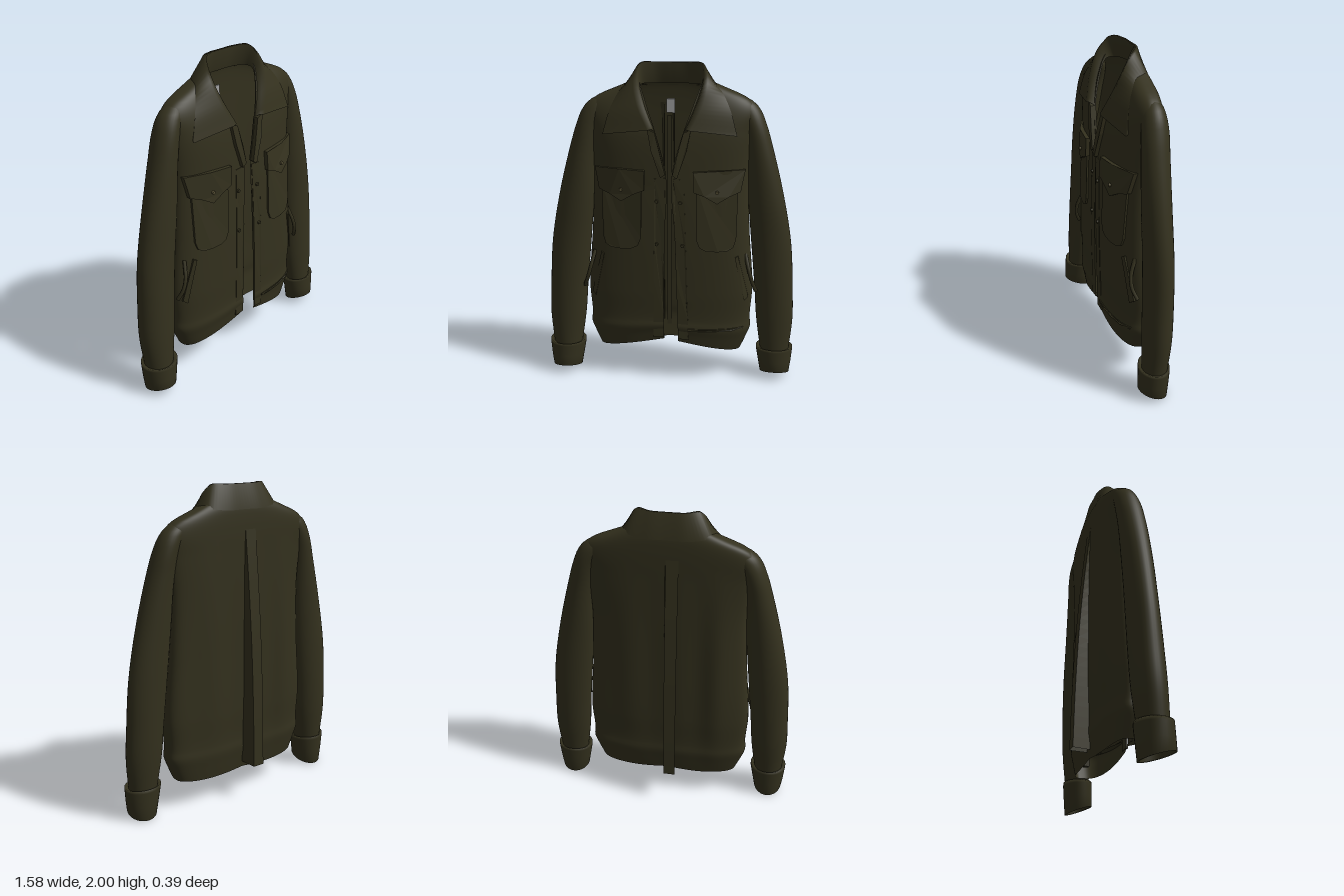
import * as THREE from 'three';
import { mergeVertices } from 'three/addons/utils/BufferGeometryUtils.js';

const mat = (name, color) => {
  const m = new THREE.MeshStandardMaterial({ color, side: THREE.DoubleSide });
  m.name = name;
  return m;
};

// Smooth lookup through rows of [y, ...values], lowest row first
function profile(rows) {
  const n = rows[0].length - 1;
  const it = new THREE.CubicInterpolant(
    new Float32Array(rows.map(r => r[0])), new Float32Array(rows.flatMap(r => r.slice(1))), n);
  return y => Array.from(it.evaluate(y));
}

// Surface from a rule f(u, v) -> [x, y, z]
function grid(f, nu, nv, flat = false) {
  const pos = [], idx = [];
  for (let j = 0; j <= nv; j++) for (let i = 0; i <= nu; i++) pos.push(...f(i / nu, j / nv));
  for (let j = 0; j < nv; j++) for (let i = 0; i < nu; i++) {
    const a = j * (nu + 1) + i, b = a + nu + 1;
    idx.push(a, a + 1, b, a + 1, b + 1, b);
  }
  let g = new THREE.BufferGeometry();
  g.setAttribute('position', new THREE.Float32BufferAttribute(pos, 3));
  g.setIndex(idx);
  g = flat ? g.toNonIndexed() : mergeVertices(g, 1e-5);
  g.computeVertexNormals();
  return g;
}

// Torso rows: y, half width, front opening, front z, side z, back z
const torso = profile([
  [0.19, 0.455, 0.03, 0.168, 0.03, -0.078], [0.27, 0.488, 0.03, 0.176, 0.03, -0.09],
  [0.35, 0.515, 0.03, 0.186, 0.03, -0.1], [0.39, 0.51, 0.03, 0.18, 0.03, -0.096],
  [0.6, 0.52, 0.03, 0.18, 0.03, -0.102], [1.0, 0.49, 0.025, 0.176, 0.025, -0.104],
  [1.35, 0.475, 0.018, 0.16, 0.015, -0.104], [1.6, 0.495, 0.08, 0.132, 0.005, -0.103],
  [1.74, 0.505, 0.13, 0.095, -0.005, -0.102], [1.8, 0.45, 0.152, 0.07, -0.01, -0.1],
  [1.86, 0.31, 0.175, 0.04, -0.02, -0.095], [1.9, 0.215, 0.19, 0.01, -0.03, -0.085]]);
const opening = (x0, y, s) => x0 + (s > 0 && y < 1.3 ? 0.03 * Math.min(1, (1.3 - y) * 1.2) : 0);
// The right front panel hangs a little flatter than the left
const frontDepth = (zf, y, s) => zf - (s < 0 && y < 1.6 ? 0.02 * Math.min(1, (1.6 - y) * 3) : 0);

// Height of the front panel at a point, used to lay pockets on it
function frontZ(x, y) {
  const s = Math.sign(x), [w, x0, zf, zs] = torso(y), e = opening(x0, y, s);
  const u = Math.min(1, Math.max(0, (Math.abs(x) - e) / (w - e)));
  return zs + (frontDepth(zf, y, s) - zs) * Math.pow(1 - Math.pow(u, 2 / 0.7), 0.45);
}

function torsoPoint(u, v) {
  const y = 0.19 + 1.71 * v, s = u < 0.5 ? 1 : -1;
  const a = Math.PI * (u < 0.5 ? 2 * u : 2 - 2 * u);
  const [w, x0, zf, zs, zb] = torso(y);
  const front = a <= Math.PI / 2 + 1e-6;
  const e = front ? opening(x0, y, s) : 0;
  const x = s * (e + (w - e) * Math.pow(Math.max(0, Math.sin(a)), 0.7));
  const c = Math.pow(Math.abs(Math.cos(a)), front ? 0.9 : 0.6);
  // soft hanging folds on the back, with one deeper fold at the right
  const hang = Math.sin(Math.PI * Math.min(1, v * 1.15));
  const fold = front ? 0 : c * hang * (0.005 * Math.sin(x * 21) - 0.018 * Math.exp(-(((x + 0.31) / 0.08) ** 2)));
  const z = zs + ((front ? frontDepth(zf, y, s) : zb) - zs) * c + fold;
  // hem rises toward the front opening and dips either side of the back centre
  const d = Math.min(1, Math.abs(x) / 0.46);
  const hem = (front ? 0.095 * (1 - d) : -0.015 * Math.sin(Math.PI * d)) * Math.max(0, 1 - v * 7);
  return [x, y + hem, z];
}

// Closed sleeve ring; row values are inner x, outer x, centre z, z radius
function ring(r, u, s, y, tilt = 0) {
  const a = u * Math.PI * 2, c = Math.cos(a), d = Math.sin(a);
  return [s * ((r[0] + r[1]) / 2 + (r[1] - r[0]) / 2 * c), y + tilt * d, r[2] + r[3] * d];
}
const sleeve = profile([
  [0.18, 0.585, 0.765, 0.05, 0.08], [0.4, 0.552, 0.783, 0.036, 0.09], [0.6, 0.535, 0.775, 0.028, 0.092],
  [0.9, 0.505, 0.752, 0.02, 0.09], [1.2, 0.475, 0.695, 0.017, 0.089], [1.5, 0.45, 0.617, 0.008, 0.086],
  [1.65, 0.42, 0.57, -0.002, 0.082], [1.73, 0.38, 0.533, -0.008, 0.07],
  [1.78, 0.36, 0.485, -0.011, 0.05], [1.81, 0.39, 0.42, -0.012, 0.012]]);
const cuffRows = [
  [0.2, 0.585, 0.76, 0.05, 0.08, 0], [0.215, 0.557, 0.79, 0.053, 0.098, 0], [0.195, 0.557, 0.79, 0.053, 0.099, 0.002],
  [0.11, 0.573, 0.783, 0.058, 0.097, 0.014], [0.033, 0.588, 0.773, 0.063, 0.095, 0.03],
  [0.036, 0.6, 0.762, 0.063, 0.084, 0.03], [0.2, 0.6, 0.755, 0.05, 0.076, 0]];
// The right arm is a little fuller in depth toward the wrist
const fuller = (r, s, y) => [r[0], r[1], r[2] + (s < 0 ? 0.004 : -0.006), r[3] * (s < 0 ? 1 + 0.1 * Math.max(0, 1 - y) : 0.93)];

// Thin outlined piece laid over the front panel
function applique(pts, depth) {
  const g = new THREE.ExtrudeGeometry(new THREE.Shape(pts.map(p => new THREE.Vector2(...p))),
    { depth: depth + 0.01, bevelEnabled: false });
  const p = g.attributes.position;
  for (let i = 0; i < p.count; i++)
    p.setZ(i, p.getZ(i) - 0.01 + frontZ(p.getX(i), p.getY(i)));
  g.computeVertexNormals();
  return g;
}

export function createModel() {
  const root = new THREE.Group();
  root.name = 'jacket';
  const cloth = mat('olive cloth', 0x34311e);
  const brass = mat('dull brass', 0x575035);
  const grey = mat('label grey', 0xa6a6a6);
  const add = (name, geo, m = cloth) => {
    const mesh = new THREE.Mesh(geo, m);
    mesh.name = name;
    root.add(mesh);
    return mesh;
  };

  add('torso', grid(torsoPoint, 96, 90));

  // Centre back pleat, deeper toward the hem
  const pleat = profile([[0.23, -0.2], [0.6, -0.19], [1, -0.17], [1.4, -0.137], [1.75, -0.1]]);
  add('backPleat', grid((u, v) => {
    const y = 0.23 + 1.52 * v, z = pleat(y)[0], i = Math.round(u * 3);
    return [[-0.05, -0.075, 0.0, 0.012][i], y, i % 3 ? z : -0.09];
  }, 3, 24, true));

  // Collar: stand, fold and outer edge, each traced from the centre back to the front
  const curve = pts => new THREE.CatmullRomCurve3(pts.map(p => new THREE.Vector3(...p)));
  const edges = [
    [[0, 1.87, -0.075], [0.1, 1.87, -0.07], [0.175, 1.87, -0.03], [0.18, 1.86, 0.02], [0.14, 1.74, 0.08], [0.085, 1.61, 0.125]],
    [[0, 1.997, -0.045], [0.1, 1.997, -0.04], [0.18, 1.993, 0.005], [0.195, 1.9, 0.06], [0.16, 1.77, 0.11], [0.1, 1.63, 0.16]],
    [[0, 1.998, -0.068], [0.105, 1.998, -0.064], [0.188, 1.995, -0.02], [0.22, 1.91, 0.06], [0.195, 1.77, 0.12], [0.125, 1.625, 0.168]],
    [[0, 1.85, -0.099], [0.13, 1.85, -0.098], [0.25, 1.865, -0.07], [0.295, 1.85, 0.025], [0.355, 1.74, 0.09], [0.4, 1.59, 0.122]],
    [[0, 1.86, -0.094], [0.13, 1.86, -0.093], [0.24, 1.855, -0.06], [0.28, 1.84, 0.015], [0.34, 1.74, 0.07], [0.39, 1.6, 0.1]],
  ].map(curve);
  add('collar', grid((u, v) => {
    const s = u < 0.5 ? -1 : 1, p = edges[Math.round(v * 4)].getPoint(Math.abs(2 * u - 1));
    return [s * p.x, p.y, p.z];
  }, 60, 4));

  for (const s of [1, -1]) {
    const side = s > 0 ? 'left' : 'right';
    const m = pts => pts.map(([x, y]) => [s * x, y]);

    add(side + 'Sleeve', grid((u, v) => {
      const y = 0.18 + 1.63 * v;
      return ring(fuller(sleeve(y), s, y), u, s, y);
    }, 32, 60));
    add(side + 'Cuff', grid((u, v) => {
      const r = cuffRows[Math.round(v * 6)];
      return ring(fuller(r.slice(1), s, r[0]), u, s, r[0], r[5]);
    }, 32, 6));

    // Rolled lapel below the collar
    add(side + 'Lapel', applique(m([[0.022, 1.36], [0.05, 1.48], [0.085, 1.61], [0.13, 1.63], [0.105, 1.5], [0.05, 1.34]]), 0.025));

    // Button placket down the front edge
    const inner = s > 0 ? 0.061 : 0.032, lean = s > 0 ? 0.035 : 0.008, placket = [];
    for (let i = 0; i <= 8; i++) placket.push([inner - lean * i / 8, 0.295 + i * 0.13]);
    for (let i = 8; i >= 0; i--) placket.push([inner + 0.065 - lean * i / 8, 0.29 + i * 0.13]);
    add(side + 'Placket', applique(m(placket), 0.003));

    // Chest pocket with rounded lower corners and pointed flap
    add(side + 'ChestPocket', applique(m([[0.165, 1.3], [0.17, 0.96], [0.19, 0.91], [0.23, 0.89], [0.3, 0.885],
      [0.36, 0.89], [0.395, 0.91], [0.41, 0.96], [0.415, 1.3]]), 0.012));
    add(side + 'PocketFlap', applique(m([[0.145, 1.38], [0.15, 1.26], [0.215, 1.235], [0.29, 1.19], [0.36, 1.23],
      [0.43, 1.255], [0.455, 1.385], [0.3, 1.388]]), 0.026));

    // Slanted hand pocket welt and side adjuster tab
    add(side + 'PocketWelt', applique(m([[0.405, 0.84], [0.425, 0.85], [0.495, 0.57], [0.47, 0.55]]), 0.012));
    const strap = curve([[s * 0.47, 0.85, 0.09], [s * 0.495, 0.75, 0.125], [s * 0.515, 0.68, 0.125], [s * 0.54, 0.61, 0.1]]);
    add(side + 'SideTab', new THREE.TubeGeometry(strap, 16, 0.012, 6));

    // Buttons
    const spots = [[0.29, 1.26, 0.026], [s > 0 ? 0.07 : 0.075, 1.19, 0.003], [s > 0 ? 0.085 : 0.075, 0.92, 0.003]];
    for (const [x, y, lift] of spots) {
      const b = add(side + 'Button', new THREE.CylinderGeometry(0.01, 0.011, 0.012, 14), lift > 0.01 ? brass : cloth);
      b.rotation.x = Math.PI / 2;
      b.position.set(s * x, y, frontZ(s * x, y) + lift + 0.003);
    }
  }

  // Raised waistband seam on the left panel
  const band = [0.12, 0.2, 0.3, 0.4, 0.47];
  add('waistSeam', applique([...band.map(x => [x, 0.355]), ...band.reverse().map(x => [x, 0.368])], 0.008));

  // Neck label and inner tape
  add('neckLabel', new THREE.BoxGeometry(0.05, 0.085, 0.008), grey).position.set(-0.01, 1.73, -0.092);
  add('innerTape', new THREE.BoxGeometry(0.03, 1.4, 0.01)).position.set(-0.018, 0.97, -0.09);
  add('hemTag', new THREE.BoxGeometry(0.03, 0.1, 0.03)).position.set(0.155, 0.235, -0.05);

  return root;
}
